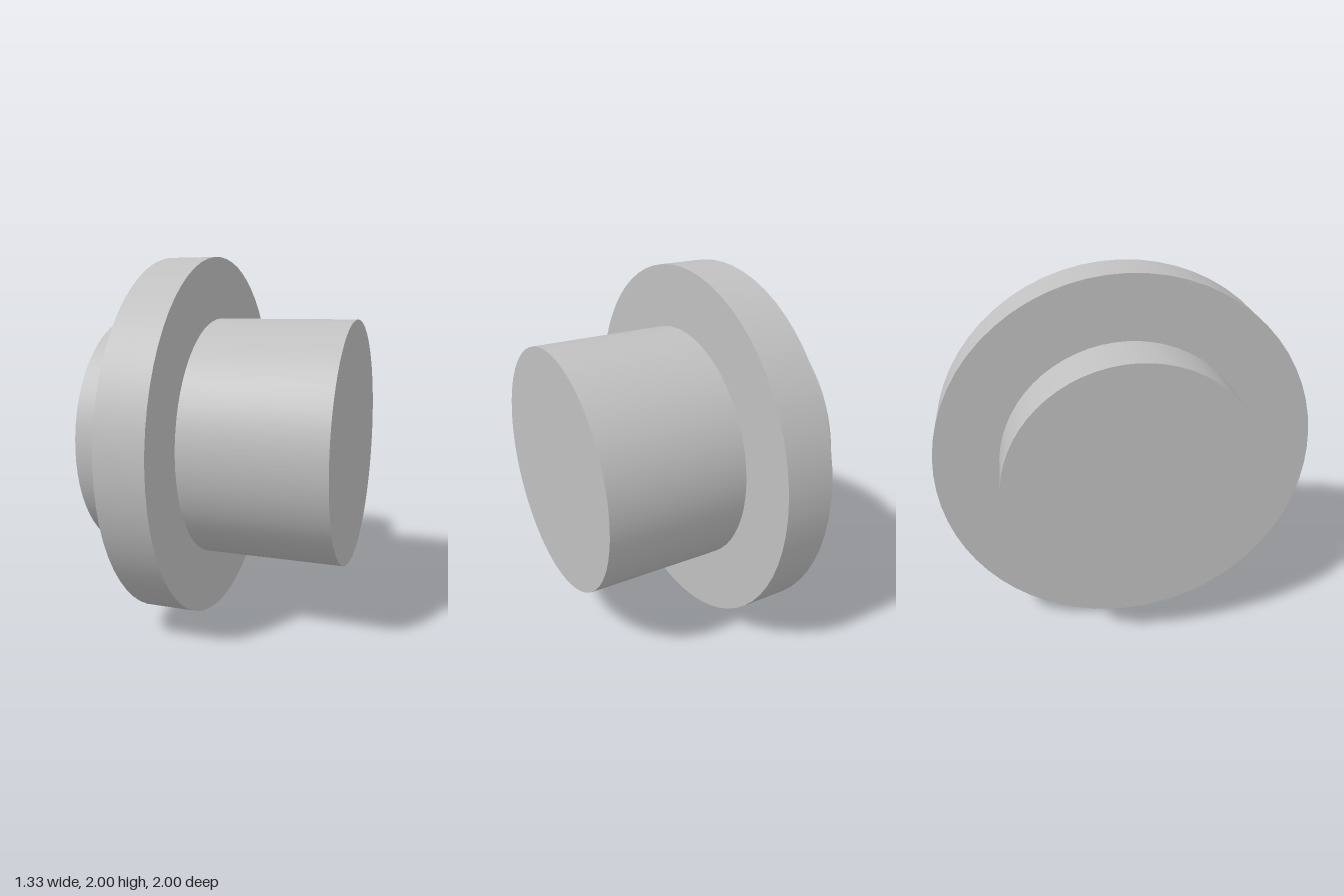
import * as THREE from 'three';
import { mergeGeometries } from 'three/addons/utils/BufferGeometryUtils.js';

const SEGMENTS = 64;
const HUB_RADIUS = 0.665;
const FLANGE_RADIUS = 1;
const FLANGE_X = [-0.37, -0.105];
const HUB_X = [-0.665, 0.665];

// Curved wall along the x axis
function wall(radius, x0, x1) {
  return new THREE.CylinderGeometry(radius, radius, x1 - x0, SEGMENTS, 1, true)
    .rotateZ(-Math.PI / 2)
    .translate((x0 + x1) / 2, 0, 0);
}

// Turn a flat face from +z to face along x (side is 1 or -1)
function faceAlongX(geometry, x, side) {
  return geometry.rotateY(side * Math.PI / 2).translate(x, 0, 0);
}

export function createModel() {
  const model = new THREE.Group();
  model.name = 'flangedDrum';
  const grey = new THREE.MeshStandardMaterial({ color: 0xc0c0c0 });
  grey.name = 'lightGrey';

  function add(name, parts) {
    const mesh = new THREE.Mesh(mergeGeometries(parts), grey);
    mesh.name = name;
    mesh.position.y = FLANGE_RADIUS;
    model.add(mesh);
  }

  // Wide flange: rim and its two ring-shaped faces
  const ring = () => new THREE.RingGeometry(HUB_RADIUS, FLANGE_RADIUS, SEGMENTS);
  add('flange', [
    wall(FLANGE_RADIUS, ...FLANGE_X),
    faceAlongX(ring(), FLANGE_X[0], -1),
    faceAlongX(ring(), FLANGE_X[1], 1),
  ]);

  // Hubs on either side, each closed at its outer end
  const cap = () => new THREE.CircleGeometry(HUB_RADIUS, SEGMENTS);
  add('longHub', [wall(HUB_RADIUS, FLANGE_X[1], HUB_X[1]), faceAlongX(cap(), HUB_X[1], 1)]);
  add('shortHub', [wall(HUB_RADIUS, HUB_X[0], FLANGE_X[0]), faceAlongX(cap(), HUB_X[0], -1)]);

  return model;
}
